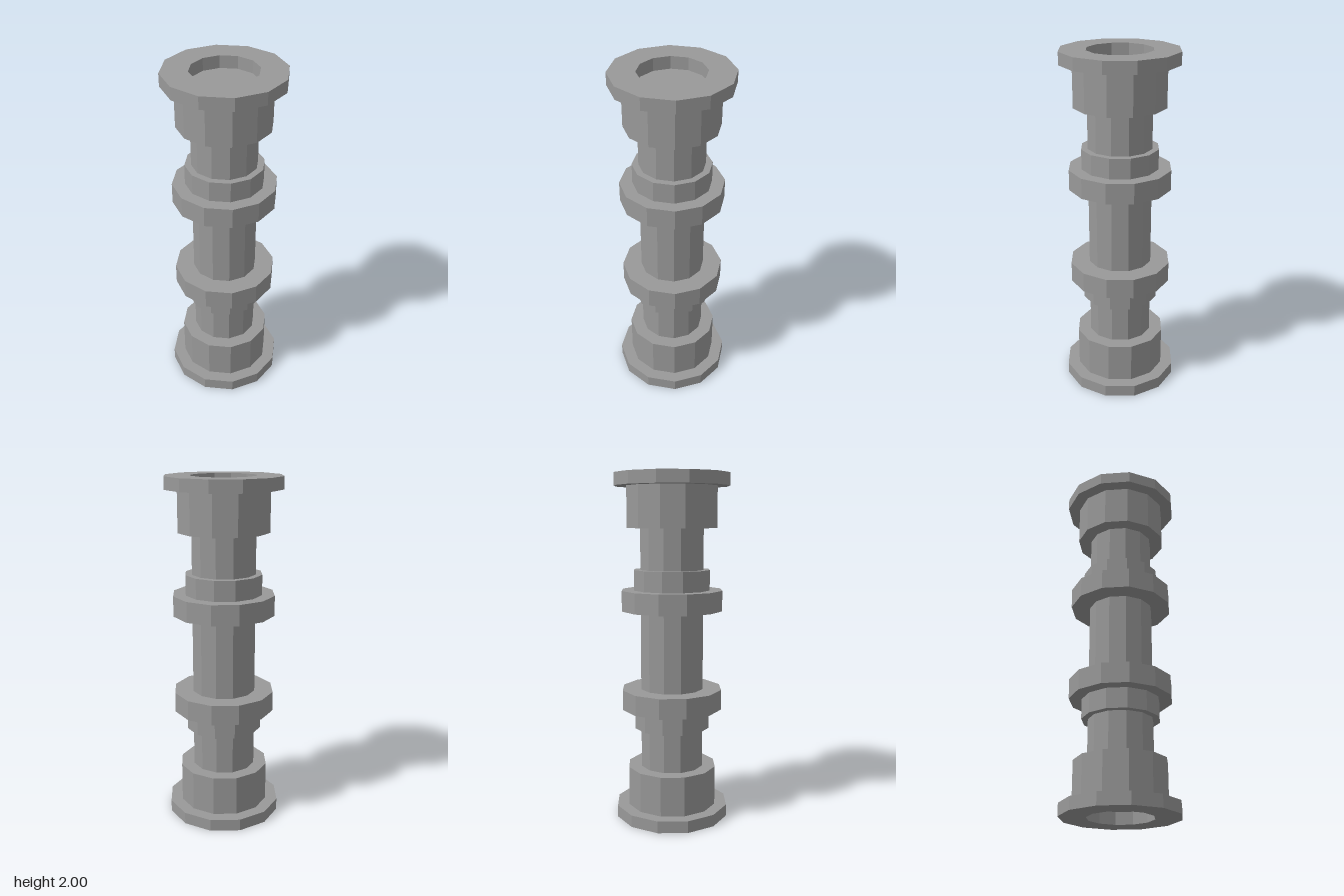
import * as THREE from 'three';

const SIDES = 12;
const SHAFT_R = 0.185;

export function createModel() {
  const model = new THREE.Group();
  model.name = 'flangedColumn';
  const metal = new THREE.MeshStandardMaterial({ color: 0x999999, flatShading: true });
  metal.name = 'grey metal';

  const add = (name, geometry) => {
    const mesh = new THREE.Mesh(geometry, metal);
    mesh.name = name;
    model.add(mesh);
  };

  // Twelve-sided ring around the shaft; bored rings also get an inner wall
  const ring = (name, radius, y0, y1, bored = false) => {
    const profile = [[SHAFT_R, y0], [radius, y0], [radius, y1], [SHAFT_R, y1]];
    if (bored) profile.push([SHAFT_R, y0]);
    add(name, new THREE.LatheGeometry(profile.map(([r, y]) => new THREE.Vector2(r, y)), SIDES));
  };

  // Central shaft, closed at both ends to form the recess floors
  const shaft = new THREE.CylinderGeometry(SHAFT_R, SHAFT_R, 1.86, SIDES);
  shaft.translate(0, 1, 0);
  add('shaft', shaft);

  // Name, radius, start and end measured from the nearest end, open bore
  const rings = [
    ['Flange', 0.333, 0, 0.07, true],
    ['Collar', 0.262, 0.07, 0.303],
    ['Sleeve', 0.222, 0.537, 0.653],
    ['Band', 0.295, 0.653, 0.77],
  ];
  for (const [name, radius, a, b, bored] of rings) {
    ring('bottom' + name, radius, a, b, bored);
    ring('top' + name, radius, 2 - b, 2 - a, bored);
  }
  return model;
}
